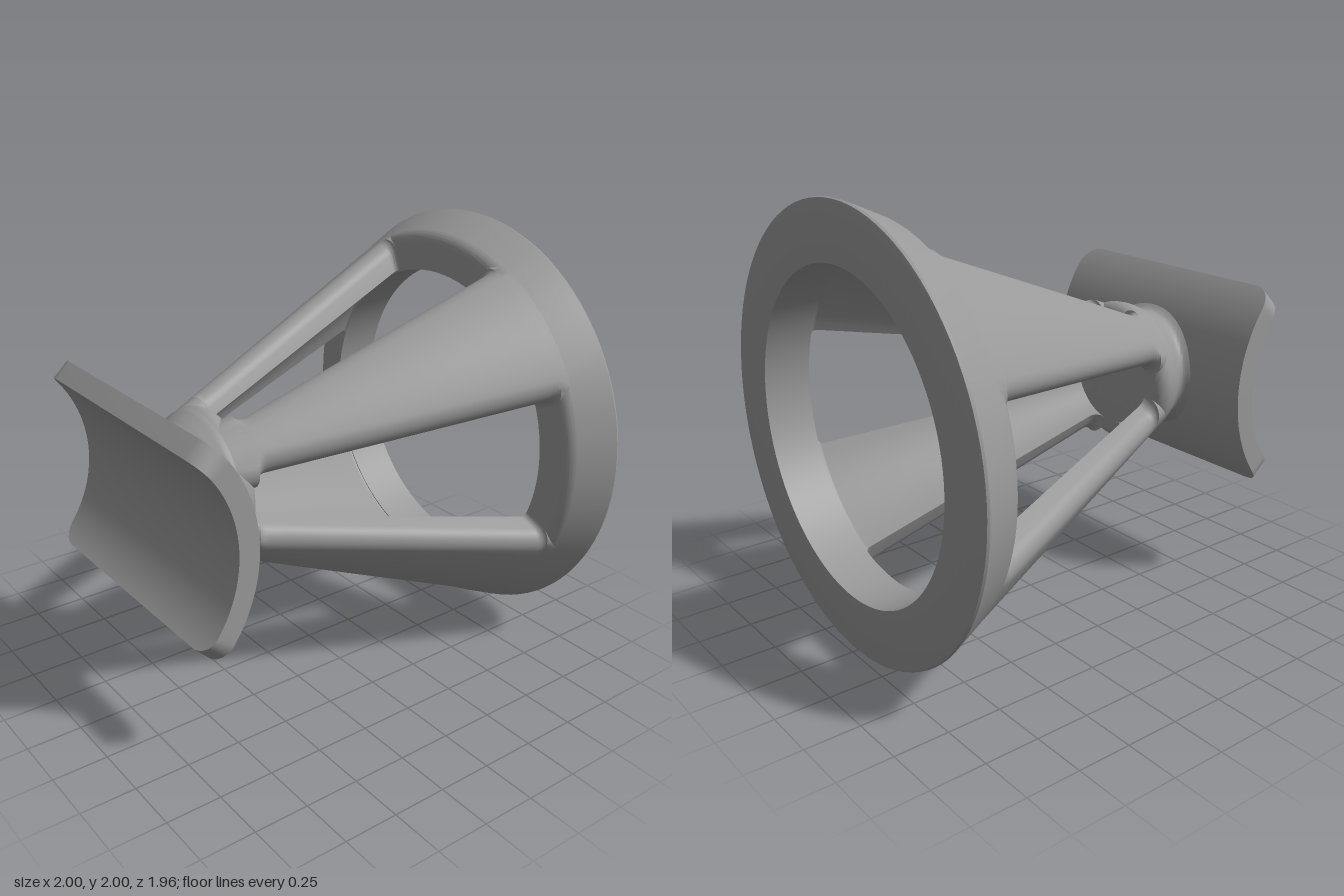
import * as THREE from 'three';
import { toCreasedNormals } from 'three/addons/utils/BufferGeometryUtils.js';

const material = new THREE.MeshStandardMaterial({ color: 0x999999 });

function addMesh(parent, geometry, name) {
  const mesh = new THREE.Mesh(toCreasedNormals(geometry, 0.6), material);
  mesh.name = name;
  parent.add(mesh);
  return mesh;
}

// Skins a list of closed loops (each an array of [x, y, z])
function loft(loops, capped) {
  const n = loops[0].length, last = (loops.length - 1) * n, index = [];
  for (let i = 0; i < loops.length - 1; i++) {
    for (let j = 0; j < n; j++) {
      const a = i * n + j, b = i * n + (j + 1) % n;
      index.push(a, b, b + n, a, b + n, a + n);
    }
  }
  if (capped) {
    for (let j = 1; j < n - 1; j++) index.push(0, j + 1, j, last, last + j, last + j + 1);
  }
  const geometry = new THREE.BufferGeometry();
  geometry.setAttribute('position', new THREE.Float32BufferAttribute(loops.flat(2), 3));
  geometry.setIndex(index);
  return geometry;
}

// Revolves [radius, z] points about the z axis
function revolve(points) {
  return new THREE.LatheGeometry(points.map(p => new THREE.Vector2(...p)), 96).rotateX(Math.PI / 2);
}

// Conical shell that the legs, ring and hub share
const SLOPE = 0.4222, HOLE = 0.735, CONE_ANGLE = Math.atan(SLOPE);
const outerRadius = z => 0.335 - SLOPE * (z - 0.6);
const innerRadius = z => Math.min(HOLE + 0.005, 0.25 - 0.394 * (z - 0.5));
const WINDOW_BACK = -0.755, WINDOW_FRONT = 0.505;

// [radius, z] arc tangent to the cone, with its centre at height z
function shoulder(z, radius, from, to) {
  const r = outerRadius(z) - radius * Math.hypot(1, SLOPE);
  return Array.from({ length: 13 }, (_, k) => {
    const t = from + (to - from) * k / 12;
    return [r + radius * Math.cos(t), z + radius * Math.sin(t)];
  });
}

// Widening that rounds the window corners near an end
function cornerFillet(distance, radius) {
  const t = THREE.MathUtils.clamp(radius - distance, 0, radius);
  return radius - Math.sqrt(radius * radius - t * t);
}

// Leg section about the +x direction: radial walls and round outer edges
function legSection(z) {
  const R = outerRadius(z), r = innerRadius(z), c = 0.075, beta = Math.PI / 8;
  const widen = cornerFillet(z - WINDOW_BACK, 0.03) + cornerFillet(WINDOW_FRONT - z, 0.05);
  const d = widen - c, s = Math.sqrt((R - c) ** 2 - d * d);
  const gamma = beta + Math.atan2(d, s);
  const cx = (R - c) * Math.cos(gamma), cy = (R - c) * Math.sin(gamma);
  const edge = [];
  for (let k = 0; k <= 9; k++) {
    const t = gamma + (beta + Math.PI / 2 - gamma) * k / 9;
    edge.push([cx + c * Math.cos(t), cy + c * Math.sin(t)]);
  }
  const loop = edge.map(([x, y]) => [x, -y]).reverse();
  for (let k = 1; k < 14; k++) {
    const t = gamma * (k / 7 - 1);
    loop.push([R * Math.cos(t), R * Math.sin(t)]);
  }
  loop.push(...edge);
  const alpha = beta + Math.asin(widen / r);
  for (let k = 0; k <= 14; k++) {
    const t = alpha * (1 - k / 7);
    loop.push([r * Math.cos(t), r * Math.sin(t)]);
  }
  return loop.map(([x, y]) => [x, y, z]);
}

function legGeometry() {
  const zs = [-0.8];
  for (let k = 0; k <= 8; k++) zs.push(WINDOW_BACK + 0.03 * (k / 8) ** 2);
  for (let k = 1; k < 12; k++) zs.push(-0.725 + 1.18 * k / 12);
  for (let k = 8; k >= 0; k--) zs.push(WINDOW_FRONT - 0.05 * (k / 8) ** 2);
  zs.push(0.588);
  return loft(zs.map(legSection), false);
}

// Curved plate: an arc about an axis parallel to x
const ARC_Z = 1.388, PLATE_FRONT = 0.58, PLATE_BACK = 0.676;

function plateGeometry() {
  const rows = [], half = Math.PI / 4, corner = 0.16;
  for (let k = 0; k <= 10; k++) {
    const t = k / 10 * Math.PI / 2;
    rows.push([-half + corner * (1 - Math.cos(t)), 0.64 - 0.1 * (1 - Math.sin(t))]);
  }
  const ends = rows.slice();
  for (let k = 1; k < 30; k++) rows.push([(half - corner) * (k / 15 - 1), 0.64]);
  for (const [a, w] of ends.reverse()) rows.push([-a, w]);
  return loft(rows.map(([a, w]) => {
    const at = (x, R) => [x, R * Math.sin(a), ARC_Z - R * Math.cos(a)];
    return [at(w, PLATE_FRONT), at(w, PLATE_BACK), at(-w, PLATE_BACK), at(-w, PLATE_FRONT)];
  }), true);
}

// Hub: the cone's front end and a neck bent to follow the plate's back
function hubGeometry() {
  const radius = 0.06;
  const rim = shoulder(WINDOW_FRONT + radius, radius, -Math.PI / 2, CONE_ANGLE);
  const neck = new THREE.SplineCurve([
    rim.at(-1), [0.333, 0.612], [0.318, 0.64], [0.304, 0.665], [0.308, 0.692], [0.338, 0.714],
  ].map(p => new THREE.Vector2(...p)));
  const neckPoints = neck.getPoints(30).slice(1).map(p => [p.x, p.y]);
  const geometry = revolve([[0, WINDOW_FRONT], ...rim, ...neckPoints]);
  const pos = geometry.attributes.position;
  for (let i = 0; i < pos.count; i++) {
    const z = pos.getZ(i), bend = THREE.MathUtils.smoothstep(z, 0.62, 0.71);
    // the flare at the plate is weaker above and below
    const y = pos.getY(i) * (1 - 0.1 * bend);
    const saddle = ARC_Z - Math.sqrt(PLATE_BACK ** 2 - y * y) - 0.712;
    pos.setY(i, y);
    pos.setZ(i, z + saddle * bend);
  }
  return geometry;
}

function ringGeometry() {
  const radius = 0.07;
  return revolve([
    [HOLE, -0.98], [0.985, -0.98], [0.996, -0.976], [1, -0.965],
    ...shoulder(WINDOW_BACK - radius, radius, CONE_ANGLE, Math.PI / 2),
    [HOLE, WINDOW_BACK], [HOLE, -0.98],
  ]);
}

export function createModel() {
  const model = new THREE.Group();
  model.name = 'conicalStand';
  const body = new THREE.Group();
  body.name = 'body';
  body.position.y = 1;
  model.add(body);

  addMesh(body, ringGeometry(), 'baseRing');
  addMesh(body, hubGeometry(), 'hub');
  addMesh(body, plateGeometry(), 'curvedPlate');

  // four legs on the diagonals
  const leg = legGeometry();
  for (let i = 0; i < 4; i++) {
    addMesh(body, leg, 'leg' + (i + 1)).rotation.z = Math.PI / 4 + i * Math.PI / 2;
  }
  return model;
}
